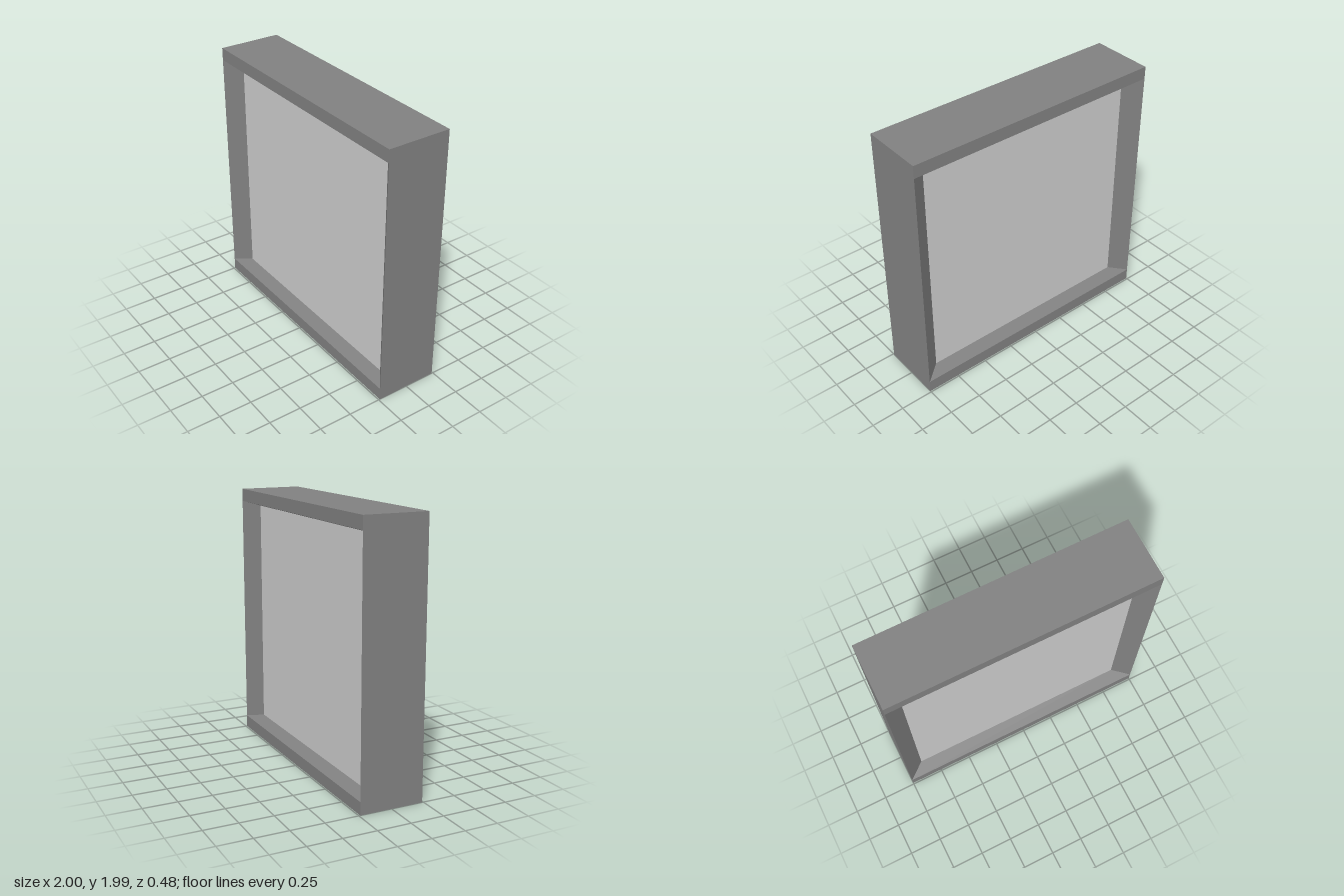
import * as THREE from 'three';

const H = 1.985, DEPTH = 0.24, PANE_Z = 0.14;

// Rectangular cross-section: half width, bottom edge, top edge, depth
const rect = (w, lo, hi, z) => [[-w, lo, z], [w, lo, z], [w, hi, z], [-w, hi, z]];

// Skin the rings one to the next with flat quads
function skin(rings) {
  const pos = [];
  for (let i = 0; i < rings.length - 1; i++) {
    for (let k = 0; k < 4; k++) {
      const n = (k + 1) % 4;
      const a = rings[i][k], b = rings[i][n], c = rings[i + 1][n], d = rings[i + 1][k];
      // the rails have no flat face on the left and right edges
      if (a[0] === b[0] && a[0] === c[0] && a[2] === c[2]) continue;
      pos.push(...a, ...b, ...c, ...a, ...c, ...d);
    }
  }
  const g = new THREE.BufferGeometry();
  g.setAttribute('position', new THREE.Float32BufferAttribute(pos, 3));
  g.computeVertexNormals();
  return g;
}

export function createModel() {
  const group = new THREE.Group();
  group.name = 'framedPanel';

  // Frame: bevel, flat rails and outer walls, the same on both faces
  const inner = z => rect(0.87, 0.125, 1.86, z);
  const lip = z => rect(1, 0.095, 1.89, z);
  const outer = z => rect(1, 0, H, z);
  const frame = new THREE.Mesh(
    skin([inner(-PANE_Z), lip(-DEPTH), outer(-DEPTH), outer(DEPTH), lip(DEPTH), inner(PANE_Z)]),
    new THREE.MeshStandardMaterial({ color: 0x808080, flatShading: true }));
  frame.name = 'frame';
  group.add(frame);

  // Recessed panes, front and back
  const paneMaterial = new THREE.MeshStandardMaterial({ color: 0xcccccc });
  for (const side of [1, -1]) {
    const pane = new THREE.Mesh(new THREE.PlaneGeometry(1.74, 1.735), paneMaterial);
    pane.position.set(0, (0.125 + 1.86) / 2, side * PANE_Z);
    if (side < 0) pane.rotation.y = Math.PI;
    pane.name = side > 0 ? 'frontPane' : 'backPane';
    group.add(pane);
  }
  return group;
}
